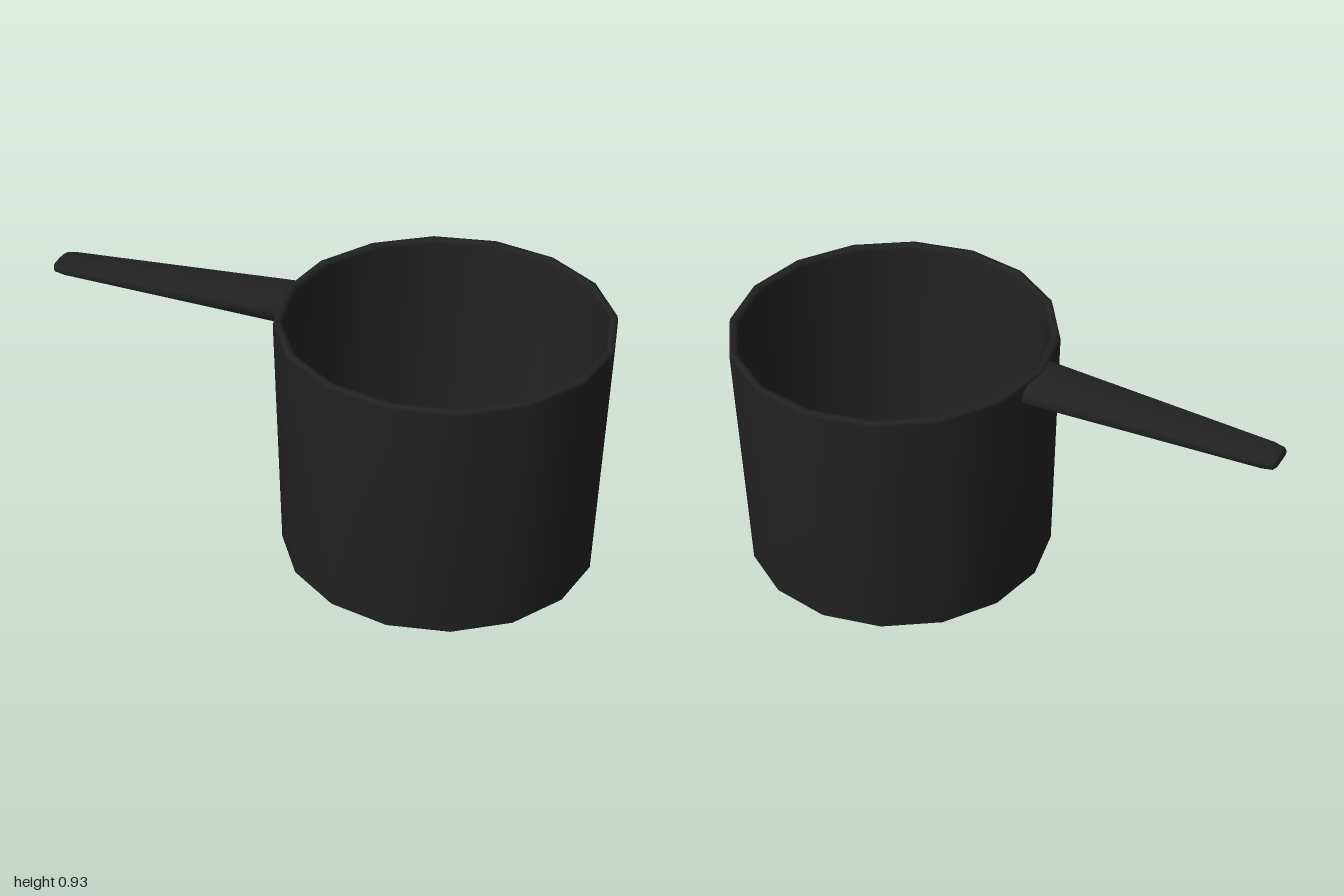
import * as THREE from 'three';

const material = new THREE.MeshStandardMaterial({ color: 0x222222 });
const CUP_X = 0.427;

// Closed skin through rings of equal length, with a fan over each end
function loft(rings) {
  const n = rings[0].length;
  const positions = rings.flat(2);
  const index = [];
  for (let r = 0; r < rings.length - 1; r++) {
    for (let i = 0; i < n; i++) {
      const a = r * n + i, b = r * n + (i + 1) % n;
      index.push(a, b, a + n, b, b + n, a + n);
    }
  }
  const last = (rings.length - 1) * n;
  for (let i = 1; i < n - 1; i++) {
    index.push(0, i + 1, i);
    index.push(last, last + i, last + i + 1);
  }
  const geometry = new THREE.BufferGeometry();
  geometry.setAttribute('position', new THREE.Float32BufferAttribute(positions, 3));
  geometry.setIndex(index);
  geometry.computeVertexNormals();
  return geometry;
}

// Hollow tapered cup: outside, rim, then inside down to the floor
function createCup() {
  const profile = [
    [0, 0], [0.49, 0], [0.55, 0.045], [0.572, 0.91], [0.568, 0.925],
    [0.55, 0.925], [0.54, 0.91], [0.522, 0.07], [0.475, 0.035], [0, 0.035],
  ].map(([r, y]) => new THREE.Vector2(r, y));
  const cup = new THREE.Mesh(new THREE.LatheGeometry(profile, 16), material);
  cup.name = 'cup';
  cup.position.x = CUP_X;
  return cup;
}

// Tapered handle: flat underneath, rounded on top and at the tip
function createHandle() {
  // Cross-section as fractions of half width and height
  const section = [
    [-0.8, 0], [-1, 0.25], [-0.95, 0.65], [-0.75, 0.92], [0, 1],
    [0.75, 0.92], [0.95, 0.65], [1, 0.25], [0.8, 0],
  ];
  // x, half width, bottom, top
  const stations = [
    [-1, 0.045, 0.848, 0.87],
    [-0.99, 0.058, 0.841, 0.876],
    [-0.955, 0.066, 0.839, 0.881],
    [-0.55, 0.087, 0.839, 0.899],
    [-0.12, 0.11, 0.839, 0.918],
  ];
  const rings = stations.map(([x, w, bottom, top]) =>
    section.map(([z, y]) => [x, bottom + y * (top - bottom), z * w]));
  const handle = new THREE.Mesh(loft(rings), material);
  handle.name = 'handle';
  return handle;
}

export function createModel() {
  const group = new THREE.Group();
  group.name = 'measuringCup';
  group.add(createCup(), createHandle());
  return group;
}
